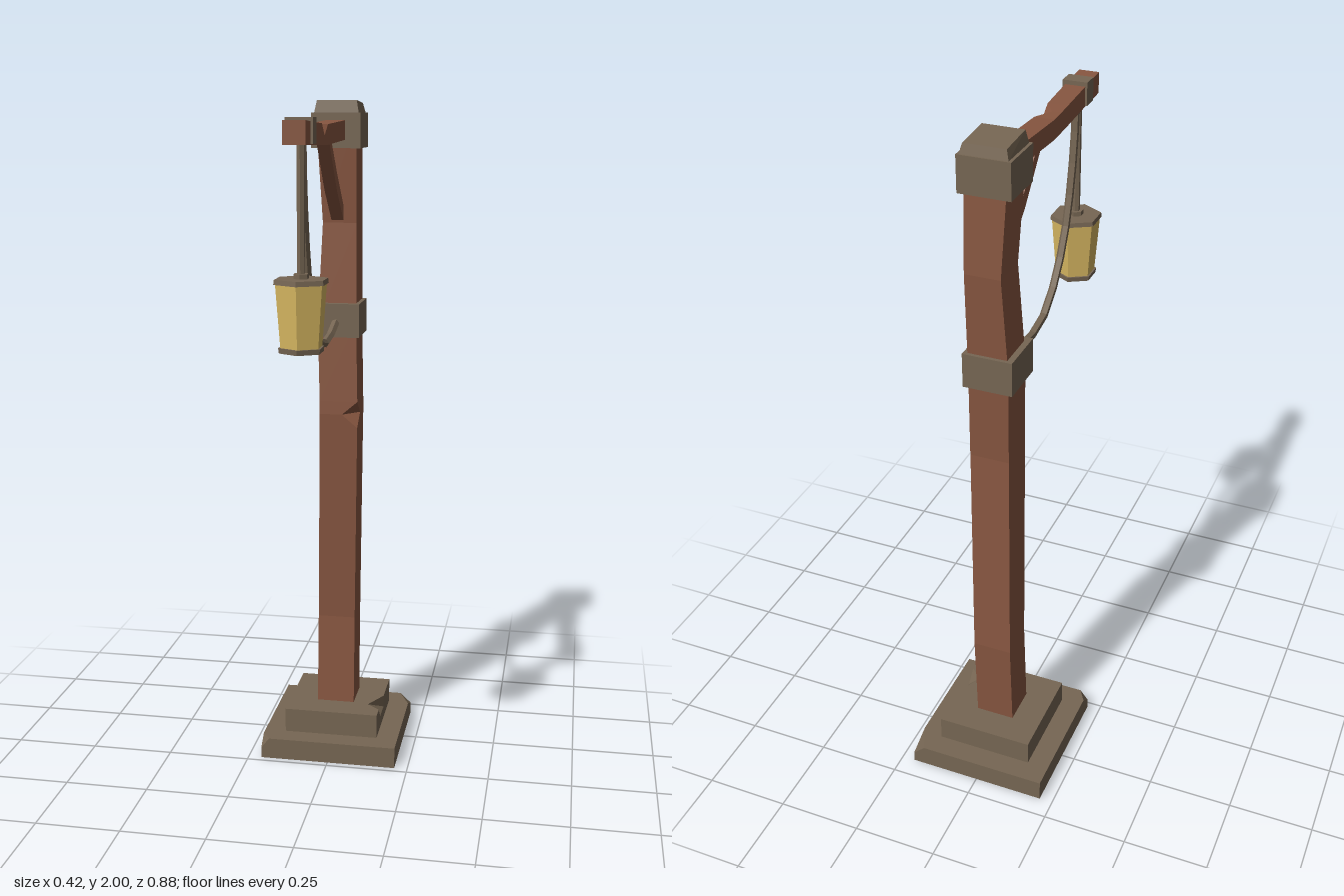
import * as THREE from 'three';

const wood = new THREE.MeshStandardMaterial({ color: 0x875640 });
wood.name = 'wood';
const stone = new THREE.MeshStandardMaterial({ color: 0x766653 });
stone.name = 'stone';
const glass = new THREE.MeshStandardMaterial({ color: 0xd8b862 });
glass.name = 'lamp glass';

const POST_Z = -0.23, LAMP_Z = 0.358;

// Adds a faceted mesh
function add(group, name, geometry, material, x = 0, y = 0, z = 0) {
  const g = geometry.index ? geometry.toNonIndexed() : geometry;
  g.computeVertexNormals();
  const mesh = new THREE.Mesh(g, material);
  mesh.name = name;
  mesh.position.set(x, y, z);
  group.add(mesh);
  return mesh;
}

// Rectangular section whose last corner can be split in two to carve a notch
const section = (u0, u1, v0, v1, cutU = 0, cutV = 0) =>
  [[u0, v0], [u1, v0], [u1, v1 - cutV], [u1 - cutU, v1], [u0, v1]];

// Capped solid through rings of points
function loft(rings) {
  const p = [], n = rings[0].length;
  const tri = (a, b, c) => p.push(...a, ...b, ...c);
  for (let i = 0; i < rings.length - 1; i++) {
    for (let j = 0; j < n; j++) {
      const k = (j + 1) % n;
      tri(rings[i][j], rings[i][k], rings[i + 1][k]);
      tri(rings[i][j], rings[i + 1][k], rings[i + 1][j]);
    }
  }
  const first = rings[0], last = rings[rings.length - 1];
  for (let j = 1; j < n - 1; j++) {
    tri(first[0], first[j + 1], first[j]);
    tri(last[0], last[j], last[j + 1]);
  }
  const g = new THREE.BufferGeometry();
  g.setAttribute('position', new THREE.Float32BufferAttribute(p, 3));
  return g;
}

// Hollow stone step; outline corners are chipped only on the top layer
function step(outline, holeHalf, height, restore) {
  const shape = new THREE.Shape(outline.map(([x, z]) => new THREE.Vector2(x, -z)));
  const h = holeHalf;
  shape.holes.push(new THREE.Path([[-h, -h], [-h, h], [h, h], [h, -h]].map(q => new THREE.Vector2(...q))));
  const g = new THREE.ExtrudeGeometry(shape, { depth: height, steps: 2, bevelEnabled: false });
  g.rotateX(-Math.PI / 2);
  const pos = g.attributes.position;
  for (let i = 0; i < pos.count; i++) {
    if (pos.getY(i) > height * 0.9) continue;
    const [x, z] = restore(pos.getX(i), pos.getZ(i));
    pos.setX(i, x);
    pos.setZ(i, z);
  }
  return g;
}

export function createModel() {
  const model = new THREE.Group();
  model.name = 'lamp post';

  // Stepped base
  const a = 0.21, b = 0.145;
  const lower = [[-a, -a], [-a, 0.17], [-0.185, a], [a, a], [a, -0.13], [0.175, -a]];
  add(model, 'lowerStep', step(lower, 0.14, 0.065, (x, z) =>
    Math.max(Math.abs(x), Math.abs(z)) > 0.15 ? [Math.sign(x) * a, Math.sign(z) * a] : [x, z]),
  stone, 0, 0, POST_Z);
  const upper = [[-b, -b], [-b, b], [b, b], [b, 0.1], [0.105, 0.065], [b, -0.01], [b, -b]];
  add(model, 'upperStep', step(upper, 0.09, 0.075, (x, z) => [x > 0.1 ? b : x, z]),
    stone, 0, 0.065, POST_Z);
  add(model, 'upperStepLid', new THREE.BoxGeometry(0.18, 0.02, 0.18), stone, 0, 0.13, POST_Z);

  // Crooked post: y, z range, x range, notch depth along z and x
  const post = [
    [0.11, -0.286, -0.172, -0.058, 0.058],
    [0.42, -0.302, -0.19, -0.058, 0.057],
    [1.04, -0.272, -0.156, -0.048, 0.067],
    [1.08, -0.27, -0.154, -0.048, 0.068, 0.052, 0.048],
    [1.12, -0.272, -0.156, -0.048, 0.067],
    [1.36, -0.286, -0.17, -0.056, 0.06],
    [1.65, -0.302, -0.19, -0.044, 0.057],
    [1.95, -0.285, -0.168, -0.06, 0.058],
  ];
  add(model, 'post', loft(post.map(([y, ...s]) => section(...s).map(([z, x]) => [x, y, z]))), wood);

  // Collars and cap
  add(model, 'middleCollar', new THREE.BoxGeometry(0.142, 0.1, 0.147), stone, 0, 1.365, -0.226);
  add(model, 'topCollar', new THREE.BoxGeometry(0.145, 0.1, 0.14), stone, -0.001, 1.915, -0.23);
  const cap = new THREE.CylinderGeometry(0.058 * Math.SQRT2, 0.065 * Math.SQRT2, 0.035, 4);
  cap.rotateY(Math.PI / 4);
  const capPos = cap.attributes.position;
  for (let i = 0; i < capPos.count; i++) {
    if (capPos.getY(i) > 0) capPos.setY(i, 0.0135 + capPos.getZ(i) * 0.07);
  }
  add(model, 'postCap', cap, stone, 0, 1.9825, POST_Z);

  // Arm: z, x range, y range, notch depth along x and y
  const arm = [
    [-0.2, -0.03, 0.027, 1.89, 1.945],
    [0.08, -0.037, 0.02, 1.88, 1.935],
    [0.13, -0.036, 0.02, 1.881, 1.936, 0.03, 0.03],
    [0.18, -0.035, 0.022, 1.882, 1.938],
    [0.33, -0.031, 0.028, 1.886, 1.943],
    [0.44, -0.03, 0.029, 1.888, 1.948],
  ];
  const alongZ = rows => loft(rows.map(([z, ...s]) => section(...s).map(([x, y]) => [x, y, z])));
  add(model, 'arm', alongZ(arm), wood);
  add(model, 'armBrace', alongZ([
    [-0.21, -0.018, 0.018, 1.64, 1.68],
    [-0.085, -0.02, 0.016, 1.75, 1.8],
    [0.035, -0.02, 0.016, 1.883, 1.92],
  ]), wood);
  add(model, 'armClasp', new THREE.BoxGeometry(0.072, 0.066, 0.05), stone, -0.001, 1.922, 0.35);

  // Lantern
  const lantern = new THREE.Group();
  lantern.name = 'lantern';
  lantern.position.z = LAMP_Z;
  model.add(lantern);
  const hex = (name, top, bottom, y0, y1, material, sides = 6) =>
    add(lantern, name, new THREE.CylinderGeometry(top, bottom, y1 - y0, sides), material, 0, (y0 + y1) / 2);
  hex('hangingRod', 0.011, 0.011, 1.55, 1.9, stone);
  hex('rodSocket', 0.021, 0.021, 1.548, 1.562, stone);
  hex('lanternRoof', 0.074, 0.076, 1.536, 1.549, stone);
  hex('lanternGlass', 0.071, 0.058, 1.37, 1.536, glass);
  hex('lanternFloor', 0.064, 0.062, 1.357, 1.371, stone);

  // Sagging rope between arm and middle collar
  const rope = new THREE.CatmullRomCurve3([
    [1.9, 0.34], [1.77, 0.33], [1.585, 0.287], [1.48, 0.24],
    [1.385, 0.165], [1.34, 0.1], [1.325, -0.02], [1.36, -0.16],
  ].map(([y, z]) => new THREE.Vector3(0, y, z)));
  add(model, 'rope', new THREE.TubeGeometry(rope, 10, 0.012, 5), stone);

  return model;
}
